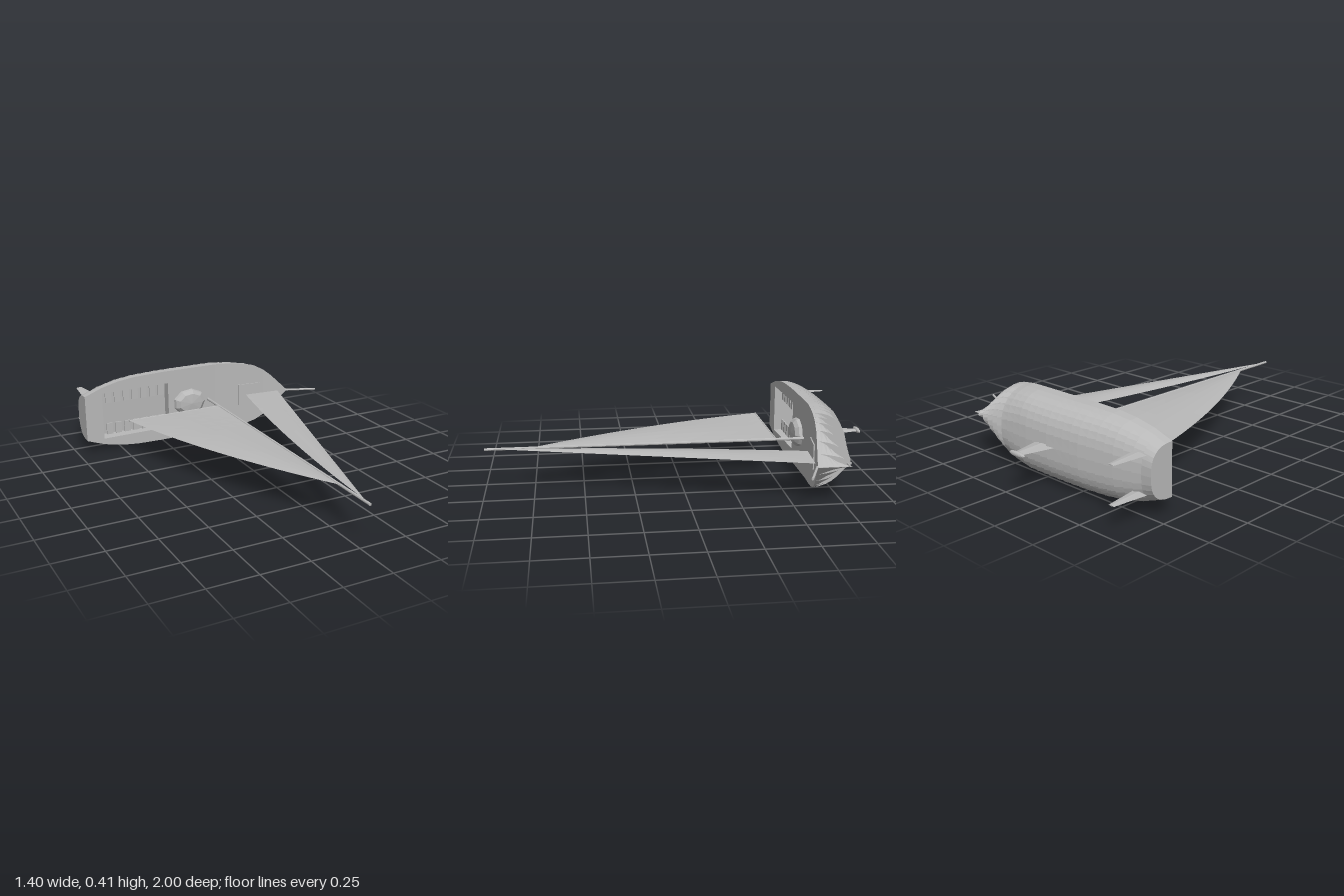
import * as THREE from 'three';

const grey = new THREE.MeshStandardMaterial({ color: 0xb8b8b8, flatShading: true, side: THREE.DoubleSide });
grey.name = 'plain grey';

const CY = 0.205; // centreline height

// Linear lookup in a short table of [x, value] pairs
function lookup(table, x) {
  for (let i = 1; i < table.length; i++) {
    const [x0, v0] = table[i - 1], [x1, v1] = table[i];
    if (x <= x1) return v0 + (v1 - v0) * Math.max(0, (x - x0) / (x1 - x0));
  }
  return table[table.length - 1][1];
}
const halfBeam = x => lookup([[-0.7, 0.128], [-0.6, 0.165], [-0.5, 0.188], [-0.4, 0.199], [-0.25, 0.203], [0.1, 0.203],
  [0.2, 0.197], [0.3, 0.181], [0.36, 0.162], [0.42, 0.122], [0.54, 0.002]], x);
const sheer = x => lookup([[-0.7, -0.645], [-0.5, -0.653], [-0.2, -0.66], [0.1, -0.66], [0.25, -0.645], [0.4, -0.625], [0.54, -0.6]], x);
const keelLine = x => lookup([[-0.7, -0.775], [-0.5, -0.807], [-0.3, -0.83], [-0.1, -0.84], [0.05, -0.84], [0.24, -0.828],
  [0.32, -0.81], [0.54, -0.775]], x);

// Skin through rows of [x, y, z] points
function skin(rows) {
  const cols = rows[0].length, index = [];
  for (let i = 0; i < rows.length - 1; i++)
    for (let j = 0; j < cols - 1; j++) {
      const a = i * cols + j, b = a + cols;
      index.push(a, b, a + 1, a + 1, b, b + 1);
    }
  const g = new THREE.BufferGeometry();
  g.setAttribute('position', new THREE.Float32BufferAttribute(rows.flat(2), 3));
  g.setIndex(index);
  g.computeVertexNormals();
  return g;
}

export function createModel() {
  const model = new THREE.Group();
  const add = (name, geometry, x = 0, y = 0, z = 0) => {
    const m = new THREE.Mesh(geometry, grey);
    m.name = name;
    m.position.set(x, y, z);
    model.add(m);
    return m;
  };
  const rod = (name, a, b, r0, r1 = r0) => {
    const p = new THREE.Vector3(...a), q = new THREE.Vector3(...b), d = q.clone().sub(p);
    const m = add(name, new THREE.CylinderGeometry(r1, r0, d.length(), 8));
    m.position.copy(p).add(q).multiplyScalar(0.5);
    m.quaternion.setFromUnitVectors(new THREE.Vector3(0, 1, 0), d.normalize());
  };

  // Hull of overlapping strips, stepped along the bottom and deeply toothed at the bow
  const N = 25, station = i => -0.7 + i * 1.24 / N;
  function section(x, raise) {
    const row = [], w = halfBeam(x), top = sheer(x), deep = keelLine(x) + raise;
    const e = 2 / lookup([[0.1, 2.7], [0.5, 1.5]], x);
    for (let k = 0; k <= 16; k++) {
      const a = Math.PI * k / 16, c = Math.cos(a);
      row.push([x, CY + Math.sign(c) * w * Math.abs(c) ** e, top + (deep - top) * Math.abs(Math.sin(a)) ** e]);
    }
    return row;
  }
  const hullRows = [];
  for (let i = 0; i < N; i++) {
    hullRows.push(section(station(i), i >= 19 ? 0.075 : i ? 0.014 : 0));
    hullRows.push(section(station(i + 1), 0));
  }
  add('hull', skin(hullRows));
  const stern = section(-0.7, 0);
  add('transom', skin([stern, stern.map(() => [-0.7, CY, sheer(-0.7)])]));
  rod('bowKeel', [0.24, CY, -0.76], [0.54, CY, -0.76], 0.004);

  // Deck, left open over the cockpit
  const C0 = 2, C1 = 10;
  const inner = x => Math.min(0.132, halfBeam(x) * 0.8);
  const deckRow = (x, us) => us.map(u => [x, CY + u(x), sheer(x)]);
  const span = (from, to, us) => {
    const rows = [];
    for (let i = from; i <= to; i++) rows.push(deckRow(station(i), us));
    return skin(rows);
  };
  add('aftDeck', span(0, C0, [x => -halfBeam(x), halfBeam]));
  add('foreDeck', span(C1, N, [x => -halfBeam(x), halfBeam]));
  for (const s of [-1, 1]) add('sideDeck', span(C0, C1, [x => s * inner(x), x => s * halfBeam(x)]));

  // Cockpit well with a stepped floor and slatted benches
  const floorRows = [], x0 = station(C0), x1 = station(C1), H = 0.132;
  for (let i = C0; i < C1; i++)
    for (const [x, z] of [[station(i), -0.755], [station(i + 1), -0.715]]) {
      const t = sheer(x);
      floorRows.push([[x, CY - H, t], [x, CY - H, z], [x, CY + H, z], [x, CY + H, t]]);
    }
  add('cockpit', skin(floorRows));
  for (const [x, z] of [[x0, -0.755], [x1, -0.715]])
    add('cockpitEnd', skin([[[x, CY - H, sheer(x)], [x, CY + H, sheer(x)]], [[x, CY - H, z], [x, CY + H, z]]]));
  for (const s of [-1, 1])
    for (let i = 0; i < 7; i++)
      add('benchSlat', new THREE.BoxGeometry(0.035, 0.064, 0.008), -0.553 + i * 0.0525, CY + s * 0.092, -0.69);

  // Low faceted cabin and the fore hatch
  const cabin = add('cabin', skin([[1, 0], [0.94, 0.018], [0.72, 0.036], [0, 0.042]].map(([r, h]) => {
    const row = [];
    for (let k = 0; k <= 9; k++) {
      const a = k / 9 * Math.PI * 2;
      row.push([r * 0.1 * Math.cos(a), r * 0.078 * Math.sin(a), h]);
    }
    return row;
  })));
  cabin.position.set(-0.075, CY + 0.002, -0.661);
  const hatch = add('hatch', new THREE.BoxGeometry(0.14, 0.125, 0.006), 0.305, CY, -0.634);
  hatch.rotation.y = -0.13;

  // Tapered fin keel with its bulb, and twin rudders
  function fin(name, y, thick, [a0, a1, za], [b0, b1, zb]) {
    const ring = (p, q, z, t) => [[p, y, z], [p + (q - p) * 0.6, y + t, z], [q, y, z], [p + (q - p) * 0.6, y - t, z], [p, y, z]];
    add(name, skin([ring(a0, a1, za, thick), ring(b0, b1, zb, thick * 0.7), ring((b0 + b1) / 2, (b0 + b1) / 2, zb, 0)]));
  }
  fin('keelFin', CY, 0.008, [-0.145, -0.015, -0.825], [-0.108, -0.055, -0.985]);
  add('keelBulb', new THREE.SphereGeometry(1, 16, 10), -0.083, CY, -0.988).scale.set(0.053, 0.013, 0.012);
  for (const s of [-1, 1])
    fin('rudder', CY + s * 0.09, 0.004, [-0.672, -0.592, -0.77], [-0.655, -0.622, -0.945]);

  // Spars
  rod('mast', [0.045, CY, -0.66], [0.045, CY, 1], 0.008, 0.007);
  rod('boom', [0.045, CY, -0.51], [-0.5, CY, -0.51], 0.005);
  rod('bowsprit', [0.53, CY, -0.6], [0.7, CY, -0.532], 0.006);

  // Sails: straight luff, curved leech, slight belly
  function sail(name, tack, clew, head, bulge, belly) {
    const rows = [];
    for (let i = 0; i <= 16; i++) {
      const t = i / 16, row = [];
      for (let j = 0; j <= 6; j++) {
        const u = j / 6;
        const lx = tack[0] + (head[0] - tack[0]) * t, lz = tack[1] + (head[1] - tack[1]) * t;
        const ex = clew[0] + (head[0] - clew[0]) * t - 4 * bulge * t * (1 - t), ez = clew[1] + (head[1] - clew[1]) * t;
        row.push([lx + (ex - lx) * u, CY + 0.002 + belly * Math.sin(Math.PI * u) * Math.sin(Math.PI * t), lz + (ez - lz) * u]);
      }
      rows.push(row);
    }
    add(name, skin(rows));
  }
  sail('mainsail', [0.04, -0.51], [-0.5, -0.51], [0.042, 0.76], 0.055, 0.012);
  sail('jib', [0.48, -0.605], [0.275, -0.62], [0.05, 0.95], 0.03, 0.012);

  return model;
}
